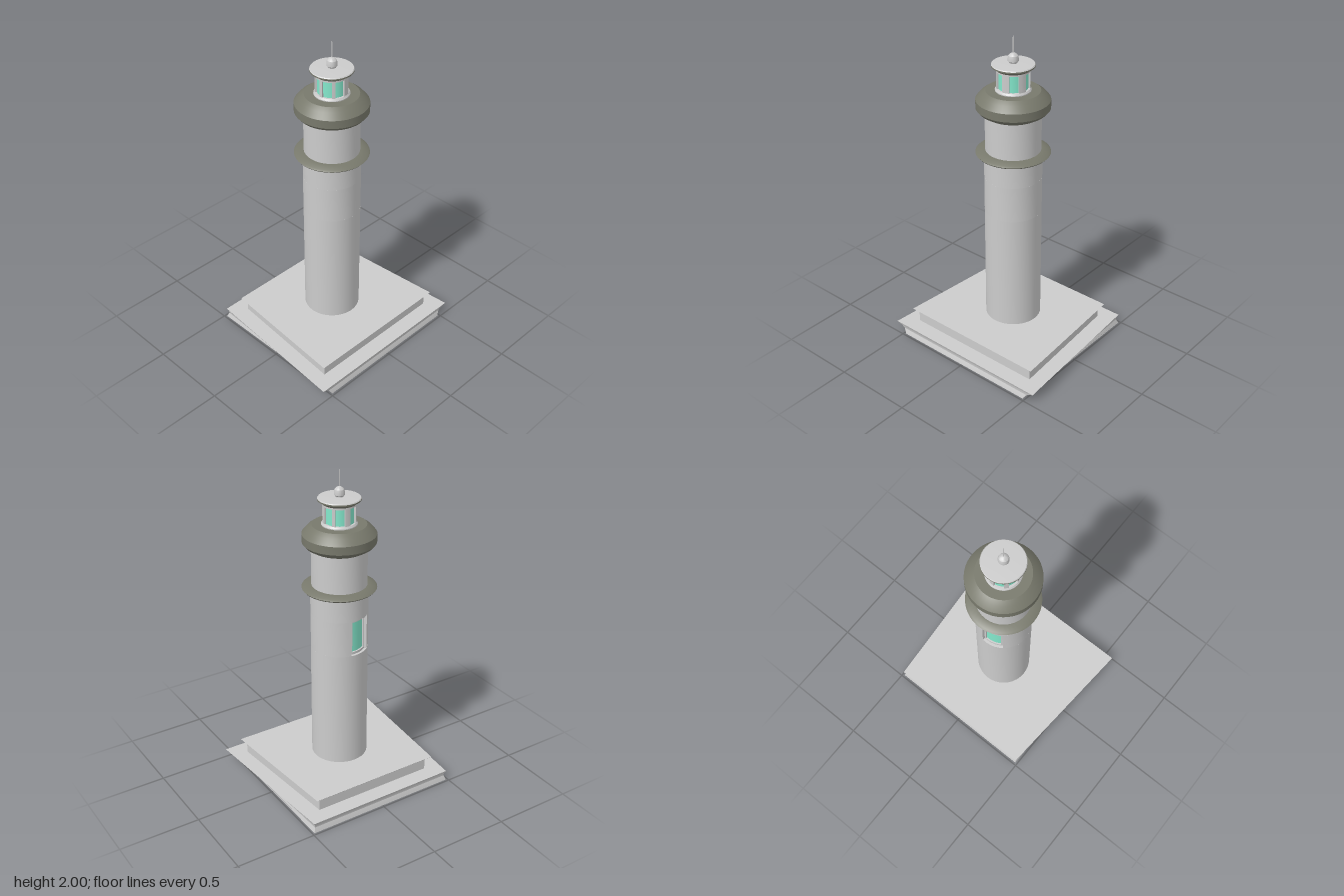
import * as THREE from 'three';
import { toCreasedNormals } from 'three/addons/utils/BufferGeometryUtils.js';

const grey = new THREE.MeshStandardMaterial({ color: 0xcccccc });
const dark = new THREE.MeshStandardMaterial({ color: 0x78796c });
const glass = new THREE.MeshStandardMaterial({ color: 0x84e8cc });
const rad = THREE.MathUtils.degToRad;

function add(parent, name, geometry, material) {
  const mesh = new THREE.Mesh(geometry, material);
  mesh.name = name;
  parent.add(mesh);
  return mesh;
}

// Round part from [radius, height] points, bottom to top
function turned(profile, segments = 36) {
  const points = profile.map(([r, y]) => new THREE.Vector2(r, y));
  return toCreasedNormals(new THREE.LatheGeometry(points, segments), 0.45);
}

// Solid curved wall between two angles, measured in degrees from +z towards +x
function curvedWall(rIn, rOut, y0, y1, from, to) {
  const steps = Math.max(3, Math.ceil((to - from) / 10));
  const shape = [];
  const ring = (r, a, b) => {
    for (let i = 0; i <= steps; i++) {
      const t = rad(a + (b - a) * i / steps - 90);
      shape.push(new THREE.Vector2(r * Math.cos(t), r * Math.sin(t)));
    }
  };
  ring(rOut, from, to);
  ring(rIn, to, from);
  const geometry = new THREE.ExtrudeGeometry(new THREE.Shape(shape), { depth: y1 - y0, bevelEnabled: false });
  geometry.rotateX(-Math.PI / 2);
  geometry.translate(0, y0, 0);
  return toCreasedNormals(geometry, 0.45);
}

// Trapezoid slab lofted through rows of [y, front half width, back half width, half depth]
function slab(rows) {
  const pos = [];
  const corners = rows.map(([y, f, b, z]) => [[-f, y, z], [f, y, z], [b, y, -z], [-b, y, -z]]);
  const quad = (a, b, c, d) => pos.push(...a, ...b, ...c, ...a, ...c, ...d);
  for (let r = 0; r < rows.length - 1; r++) {
    for (let i = 0; i < 4; i++) {
      const j = (i + 1) % 4;
      quad(corners[r][i], corners[r][j], corners[r + 1][j], corners[r + 1][i]);
    }
  }
  quad(...corners[rows.length - 1]);
  quad(...[...corners[0]].reverse());
  const geometry = new THREE.BufferGeometry();
  geometry.setAttribute('position', new THREE.Float32BufferAttribute(pos, 3));
  geometry.computeVertexNormals();
  return toCreasedNormals(geometry, 0.4);
}

export function createModel() {
  const model = new THREE.Group();
  model.name = 'lighthouse';

  // Stepped base: square foot flaring to a trapezoid, then a tier with a lip
  add(model, 'lowerBase', slab([
    [0, 0.487, 0.487, 0.486], [0.01, 0.49, 0.484, 0.483], [0.03, 0.506, 0.477, 0.475],
    [0.045, 0.526, 0.478, 0.476], [0.065, 0.56, 0.487, 0.485],
  ]), grey);
  const tier = (y, out) => [y, 0.455 + out, 0.39 + out, 0.386 + out * 0.9];
  add(model, 'upperBase', slab([
    tier(0.06, 0), tier(0.132, 0), tier(0.142, 0.008), tier(0.15, 0.022), tier(0.157, 0.03),
  ]), grey);

  const tower = new THREE.Group();
  tower.name = 'tower';
  tower.position.z = -0.004;
  model.add(tower);

  // Shaft, split into three bands to leave a window opening at the back
  const R = 0.172, sill = 0.9, head = 1.125, w0 = 172, w1 = 217;
  add(tower, 'lowerShaft', turned([[0, 0.15], [R, 0.15], [R, sill], [0, sill]]), grey);
  add(tower, 'windowBand', curvedWall(0.135, R, sill, head, w1, w0 + 360), grey);
  add(tower, 'middleShaft', turned([[0, head], [R, head], [R, 1.275], [0, 1.275]]), grey);
  add(tower, 'upperShaft', turned([[0.165, 1.27], [0.165, 1.54]]), grey);

  // Shaft window: recessed pane with a thin frame
  add(tower, 'windowPane', curvedWall(0.13, 0.147, sill, head, w0, w1), glass);
  for (const [a, b] of [[w0, w0 + 4], [w1 - 4, w1]]) {
    add(tower, 'windowJamb', curvedWall(0.135, 0.156, sill, head, a, b), grey);
  }
  for (const y of [sill, head - 0.015]) {
    add(tower, 'windowRail', curvedWall(0.135, 0.156, y, y + 0.015, w0, w1), grey);
  }

  // Belt ring and the bulging gallery
  add(tower, 'beltRing', turned([
    [0.16, 1.267], [0.178, 1.267], [0.215, 1.278], [0.222, 1.286], [0.212, 1.293], [0.172, 1.304], [0.16, 1.304],
  ], 48), dark);
  add(tower, 'gallery', turned([
    [0, 1.53], [0.167, 1.53], [0.2, 1.55], [0.217, 1.57], [0.217, 1.62],
    [0.187, 1.655], [0.159, 1.675], [0, 1.675],
  ], 48), dark);

  // Lantern room: glass core, rings and posts between the panes
  add(tower, 'lanternGlass', turned([[0.086, 1.67], [0.086, 1.81]]), glass);
  add(tower, 'lanternSill', turned([[0, 1.67], [0.105, 1.67], [0.105, 1.68], [0.098, 1.69], [0, 1.69]]), grey);
  add(tower, 'lanternHead', turned([[0, 1.792], [0.098, 1.792], [0.098, 1.81], [0, 1.81]]), grey);
  const panes = [-17, 43, 104, 150, 203, 253, 298];
  panes.forEach((angle, i) => {
    const next = i + 1 < panes.length ? panes[i + 1] : panes[0] + 360;
    add(tower, 'lanternPost', curvedWall(0.08, 0.097, 1.685, 1.8, angle + 17, next - 17), grey);
  });

  // Roof with a dark underside, domed finial and rod
  add(tower, 'roofCornice', turned([[0, 1.803], [0.1, 1.803], [0.112, 1.817], [0.126, 1.822], [0.126, 1.83]], 48), dark);
  add(tower, 'roof', turned([[0.126, 1.83], [0.122, 1.835], [0, 1.84]], 48), grey);
  add(tower, 'finial', turned([
    [0.024, 1.835], [0.024, 1.842], [0.031, 1.85], [0.031, 1.868], [0.027, 1.882],
    [0.018, 1.892], [0.008, 1.898], [0, 1.9],
  ], 24), grey);
  add(tower, 'rod', turned([[0.003, 1.89], [0.003, 1.99], [0, 2]], 8), grey);

  return model;
}
